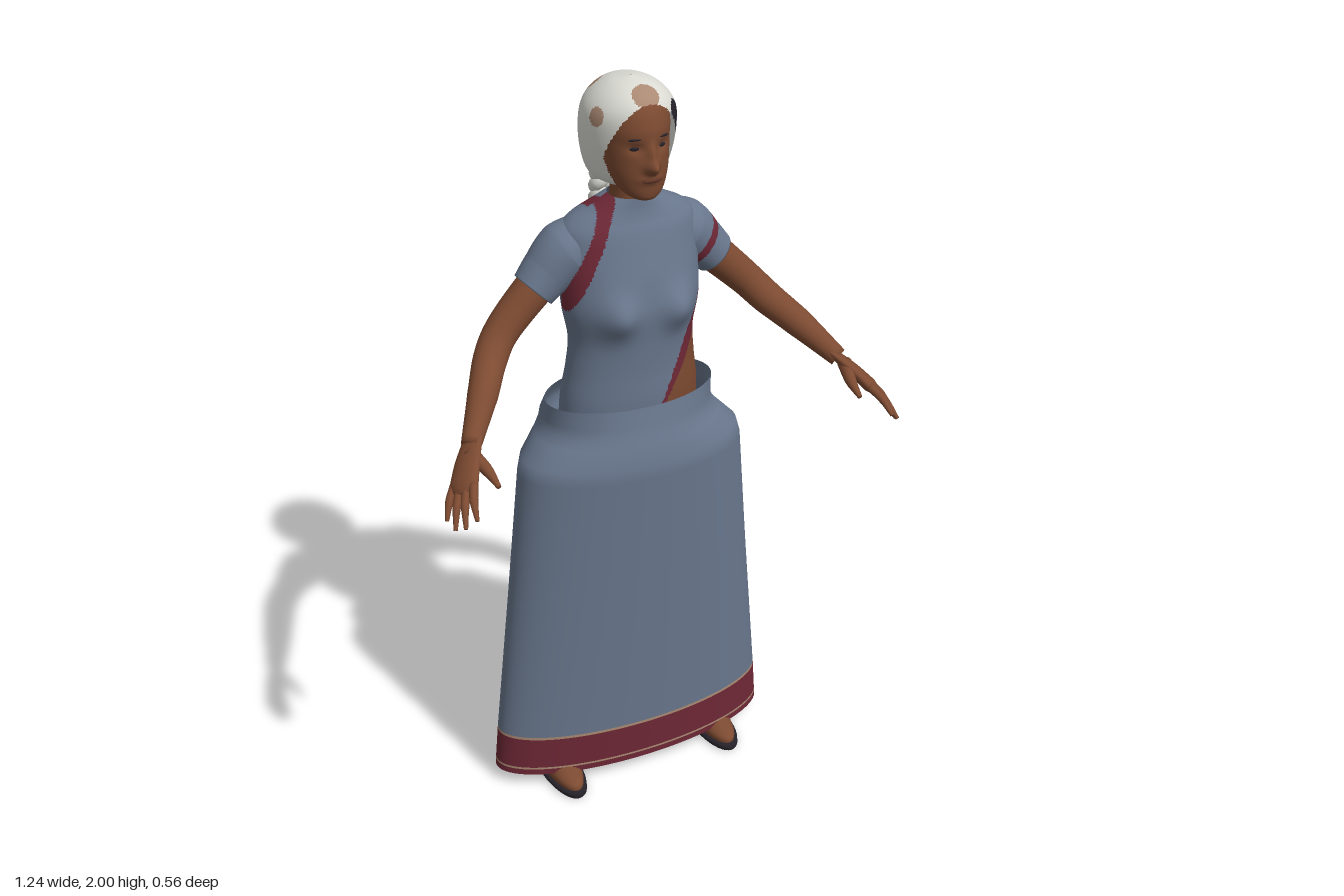
import * as THREE from 'three';

const mat = (name, color, double = false) => {
  const m = new THREE.MeshStandardMaterial({ color });
  m.name = name;
  if (double) m.side = THREE.DoubleSide;
  return m;
};

// Closed surface from rings of points; paint(x, y, z) picks a material, or null for a hole
function surface(name, rows, cols, at, paint) {
  const pos = [], faces = new Map();
  for (let i = 0; i < rows; i++) for (let j = 0; j < cols; j++) pos.push(...at(i, j));
  const add = (...t) => {
    const c = [0, 1, 2].map(k => (pos[t[0] * 3 + k] + pos[t[1] * 3 + k] + pos[t[2] * 3 + k]) / 3);
    const m = typeof paint === 'function' ? paint(...c) : paint;
    if (!m) return;
    if (!faces.has(m)) faces.set(m, []);
    faces.get(m).push(...t);
  };
  for (let i = 0; i < rows - 1; i++) for (let j = 0; j < cols; j++) {
    const a = i * cols + j, b = i * cols + (j + 1) % cols;
    add(a, b, b + cols);
    add(a, b + cols, a + cols);
  }
  const g = new THREE.BufferGeometry();
  g.setAttribute('position', new THREE.Float32BufferAttribute(pos, 3));
  const index = [];
  [...faces.values()].forEach((f, k) => {
    g.addGroup(index.length, f.length, k);
    for (const v of f) index.push(v);
  });
  g.setIndex(index);
  g.computeVertexNormals();
  const mats = [...faces.keys()];
  const mesh = new THREE.Mesh(g, mats.length > 1 ? mats : mats[0]);
  mesh.name = name;
  return mesh;
}

// Smoothly adds in-between rows to a profile
function refine(rows, sub) {
  const out = [];
  for (let i = 0; i < rows.length - 1; i++) {
    const [a, b, c, d] = [-1, 0, 1, 2].map(k => rows[Math.min(Math.max(i + k, 0), rows.length - 1)]);
    for (let s = 0; s < sub; s++) {
      const t = s / sub;
      out.push(b.map((v, k) => v + 0.5 * t * (c[k] - a[k] + t * (2 * a[k] - 5 * v + 4 * c[k] - d[k] + t * (3 * (v - c[k]) + d[k] - a[k])))));
    }
  }
  return [...out, rows[rows.length - 1]];
}

// Horizontal ellipses; each row is [y, half width, front z, back z]
function loft(name, profile, sub, cols, paint, shift = () => 0) {
  const rows = sub > 1 ? refine(profile, sub) : profile;
  return surface(name, rows.length, cols, (i, j) => {
    const [y, w, zf, zb] = rows[i], a = j / cols * Math.PI * 2;
    const x = w * Math.sin(a), z = (zf + zb) / 2 + (zf - zb) / 2 * Math.cos(a);
    return [x, y, z + shift(x, y, z)];
  }, paint);
}

// Tube through [x, y, z, radius] points with closed ends, optionally flattened along an axis
function tube(name, pts, n, cols, paint, axis = null, squash = 0) {
  const curve = new THREE.CatmullRomCurve3(pts.map(p => new THREE.Vector3(p[0], p[1], p[2])));
  const fr = curve.computeFrenetFrames(n, false);
  return surface(name, n + 3, cols, (i, j) => {
    const k = Math.min(Math.max(i - 1, 0), n), u = k / n;
    const t = curve.getUtoTmapping(u) * (pts.length - 1), q = Math.min(Math.floor(t), pts.length - 2);
    const end = i === 0 || i === n + 2;
    const r = end ? 0.0005 : THREE.MathUtils.lerp(pts[q][3], pts[q + 1][3], t - q), a = j / cols * Math.PI * 2;
    const o = fr.normals[k].clone().multiplyScalar(Math.cos(a) * r).addScaledVector(fr.binormals[k], Math.sin(a) * r);
    if (axis) o.addScaledVector(axis, -squash * o.dot(axis));
    return curve.getPointAt(u).add(o).toArray();
  }, paint);
}

const bump = (x, y, cx, cy, sx, sy) => Math.exp(-(((x - cx) / sx) ** 2) - ((y - cy) / sy) ** 2);

export function createModel() {
  const root = new THREE.Group();
  root.name = 'woman';
  const cloth = mat('blue cloth', 0x69778d, true), trim = mat('red trim', 0x6e2836, true);
  const skin = mat('skin', 0x7c4a31), white = mat('white hair', 0xdcdcd5, true);
  const tan = mat('tan', 0xab8a74, true), dark = mat('dark', 0x26222a, true), lips = mat('lips', 0x5f3427);

  // Long open skirt with a red hem
  root.add(loft('skirt', [
    [0.04, 0.405, 0.035, -0.245], [0.058, 0.404, 0.036, -0.245], [0.064, 0.403, 0.036, -0.245],
    [0.16, 0.395, 0.04, -0.245], [0.168, 0.394, 0.04, -0.245], [0.6, 0.35, 0.06, -0.245],
    [0.97, 0.314, 0.079, -0.245], [1.01, 0.303, 0.08, -0.252], [1.06, 0.254, 0.066, -0.272],
    [1.085, 0.237, 0.057, -0.277], [1.11, 0.234, 0.05, -0.268], [1.16, 0.23, 0.04, -0.222],
  ], 1, 96, (x, y) => (y > 0.058 && y < 0.064) || (y > 0.16 && y < 0.168) ? tan : y < 0.16 ? trim : cloth));

  // Bodice with a bare left waist and a slanted trim
  const bodicePaint = (x, y, z) => {
    if (x > 0) {
      if (z > -0.08) {
        if (y < 1.37 && x > 0.06 + (y - 1.17) * 0.63) return skin;
        if (y < 1.57 && x > 0.045 + (y - 1.17) * 0.45) return trim;
      } else {
        const edge = Math.max(-0.2, -0.2 + (y - 1.25) * 0.44);
        if (y < 1.36 && z > edge + 0.018) return skin;
        if (y < 1.55 && z > edge) return trim;
      }
    } else if (z > -0.09) {
      const line = -0.06 - 0.45 * (1.69 - y);
      if (y > 1.41 && x < line && x > line - 0.033) return trim;
    } else if ((y > 1.48 && x < -0.075 && x > -0.108) || (y > 1.48 && y < 1.51 && x < -0.09)) return trim;
    return cloth;
  };
  root.add(loft('bodice', [
    [1.05, 0.19, 0.02, -0.22], [1.16, 0.186, 0.03, -0.212], [1.25, 0.173, 0.03, -0.195],
    [1.33, 0.167, 0.034, -0.19], [1.42, 0.182, 0.04, -0.2], [1.5, 0.184, 0.033, -0.208],
    [1.57, 0.185, 0.015, -0.207], [1.62, 0.18, 0, -0.195], [1.65, 0.155, -0.012, -0.18],
    [1.675, 0.11, -0.018, -0.16], [1.705, 0.058, -0.02, -0.132],
  ], 10, 144, bodicePaint, (x, y, z) => z < -0.08 ? 0
    : 0.034 * Math.min(1, (z + 0.08) / 0.05) * (bump(x, y, 0.085, 1.42, 0.05, 0.055) + bump(x, y, -0.085, 1.42, 0.05, 0.055))));

  // Neck and face
  root.add(tube('neck', [[0, 1.64, -0.085, 0.056], [0, 1.71, -0.078, 0.05], [0, 1.79, -0.07, 0.052]], 8, 32, skin));
  root.add(loft('head', [
    [1.714, 0.004, 0.012, 0], [1.72, 0.03, 0.03, -0.03], [1.74, 0.055, 0.038, -0.08], [1.78, 0.075, 0.042, -0.14],
    [1.82, 0.083, 0.042, -0.17], [1.86, 0.088, 0.04, -0.19], [1.9, 0.09, 0.04, -0.195],
    [1.95, 0.078, 0.02, -0.17], [1.98, 0.035, -0.03, -0.13],
  ], 8, 96, skin, (x, y, z) => z < -0.03 ? 0
    : 0.03 * bump(x, y, 0, 1.808, 0.016, 0.017) + 0.014 * bump(x, y, 0, 1.84, 0.012, 0.025)
    + 0.007 * bump(x, y, 0, 1.775, 0.028, 0.01)
    - 0.008 * (bump(x, y, 0.035, 1.853, 0.018, 0.012) + bump(x, y, -0.035, 1.853, 0.018, 0.012))));
  const feature = (name, m, x, y, z, sx, sy, sz, turn = 0) => {
    const f = new THREE.Mesh(new THREE.SphereGeometry(1, 16, 10), m);
    f.name = name;
    f.position.set(x, y, z);
    f.scale.set(sx, sy, sz);
    f.rotation.set(0, turn * 0.4, -turn * 0.1);
    root.add(f);
  };
  for (const s of [-1, 1]) {
    feature('eye', dark, s * 0.035, 1.852, 0.022, 0.013, 0.0055, 0.005, s);
    feature('eyebrow', dark, s * 0.037, 1.877, 0.029, 0.018, 0.003, 0.004, s);
  }
  feature('mouth', lips, 0, 1.775, 0.044, 0.026, 0.006, 0.008);

  // Hair cap, open at the face, with a few odd patches
  const patches = [
    [-0.055, 1.965, -0.155, 0.024, tan], [-0.1, 1.92, -0.045, 0.024, tan], [0, 1.975, 0.01, 0.034, tan],
    [0.085, 1.92, 0.0, 0.03, dark], [0.1, 1.9, -0.03, 0.024, cloth], [0.09, 1.88, 0, 0.024, dark],
    [0.085, 1.835, -0.18, 0.024, tan], [-0.05, 1.9, -0.21, 0.024, tan], [0.01, 1.8, -0.213, 0.026, cloth],
  ];
  root.add(loft('hair', [
    [1.73, 0.06, -0.04, -0.185], [1.755, 0.092, -0.005, -0.203], [1.8, 0.108, 0.015, -0.217],
    [1.86, 0.115, 0.035, -0.225], [1.92, 0.111, 0.042, -0.214], [1.96, 0.088, 0.028, -0.188],
    [1.988, 0.05, -0.01, -0.14], [2, 0.002, -0.068, -0.072],
  ], 10, 120, (x, y, z) => {
    if (z > -0.03 && (x / 0.092) ** 2 + (Math.max(0, y - 1.82) / 0.138) ** 2 < 1) return null;
    const p = patches.find(q => Math.hypot(x - q[0], y - q[1], z - q[2]) < q[3]);
    return p ? p[4] : white;
  }));

  // Three-strand braid down the back
  const braid = new THREE.Group();
  braid.name = 'braid';
  for (let k = 0; k < 3; k++) {
    const pts = [];
    for (let i = 0; i <= 44; i++) {
      const t = i / 44, a = t * Math.PI * 7 + k * Math.PI * 2 / 3, size = 1 - 0.5 * t;
      const z = -0.198 - 0.045 * Math.sin(Math.min(1, t * 2) * Math.PI / 2) + 0.02 * Math.max(0, t - 0.5);
      pts.push([0.026 * size * Math.sin(a), 1.75 - 0.385 * t, z + 0.012 * size * Math.sin(2 * a), 0.02 * size]);
    }
    braid.add(tube('braidStrand', pts, 110, 10, white));
  }
  braid.add(tube('braidTie', [[0, 1.375, -0.234, 0.013], [0, 1.36, -0.233, 0.013]], 2, 12, cloth));
  braid.add(tube('braidTuft', [[0, 1.362, -0.232, 0.01], [0, 1.345, -0.23, 0.016], [0, 1.325, -0.226, 0.004]], 6, 12, white));
  root.add(braid);

  const palmAxis = [0.69, 0.71, 0.13];
  for (const s of [-1, 1]) {
    const side = new THREE.Group();
    side.name = s > 0 ? 'leftLimbs' : 'rightLimbs';
    const m = pts => pts.map(([x, ...r]) => [x * s, ...r]);

    // Short sleeve; the left one carries the armhole trim
    const sleevePaint = (x, y, z) => {
      const d = x * 0.8 - y * 0.6;
      return s > 0 && d > -0.765 && d < -0.74 ? trim : cloth;
    };
    side.add(tube('sleeve', m([[0.1, 1.585, -0.105, 0.07], [0.16, 1.56, -0.11, 0.078], [0.21, 1.515, -0.112, 0.066],
      [0.25, 1.475, -0.11, 0.057]]), 60, 48, sleevePaint));

    // Arm and hand
    side.add(tube('arm', m([[0.18, 1.54, -0.11, 0.045], [0.25, 1.475, -0.112, 0.049], [0.345, 1.382, -0.098, 0.044],
      [0.385, 1.338, -0.068, 0.043], [0.44, 1.285, 0.01, 0.038], [0.51, 1.21, 0.1, 0.025]]), 36, 24, skin));
    const axis = new THREE.Vector3(palmAxis[0] * s, palmAxis[1], palmAxis[2]).normalize();
    side.add(tube('palm', m([[0.49, 1.228, 0.075, 0.026], [0.535, 1.185, 0.135, 0.038], [0.562, 1.153, 0.177, 0.043],
      [0.574, 1.14, 0.195, 0.022]]), 14, 20, skin, axis, 0.58));
    [[0.57, 1.112, 0.277], [0.595, 1.09, 0.265], [0.61, 1.073, 0.235], [0.617, 1.08, 0.198]].forEach((tip, i) => {
      const k = (i - 1.5) * 0.02;
      const base = [0.56 + 0.49 * k, 1.155 - 0.32 * k, 0.174 - 0.81 * k];
      const mid = base.map((v, c) => (v + tip[c]) / 2 + palmAxis[c] * 0.006);
      side.add(tube('finger', m([[...base, 0.0115], [...mid, 0.0105], [...tip, 0.005]]), 8, 10, skin));
    });
    side.add(tube('thumb', m([[0.52, 1.2, 0.115, 0.019], [0.502, 1.18, 0.18, 0.0145], [0.496, 1.163, 0.235, 0.006]]), 8, 12, skin));

    // Leg, foot and flat sole
    side.add(tube('leg', m([[0.1, 1.08, -0.095, 0.08], [0.16, 0.55, -0.1, 0.055], [0.21, 0.3, -0.115, 0.05],
      [0.235, 0.07, -0.12, 0.033]]), 20, 20, skin));
    const foot = loft('foot', [[0.016, 0.045, 0.07, -0.17], [0.035, 0.046, 0.066, -0.17], [0.055, 0.04, 0.02, -0.168],
      [0.08, 0.035, -0.05, -0.165], [0.12, 0.03, -0.085, -0.155]], 4, 32, skin);
    const sole = loft('sole', [[0, 0.001, -0.047, -0.049], [0, 0.049, 0.08, -0.178], [0.006, 0.053, 0.085, -0.182],
      [0.019, 0.052, 0.084, -0.181], [0.02, 0.001, -0.047, -0.049]], 1, 40, dark);
    foot.position.x = sole.position.x = s * 0.237;
    side.add(foot, sole);
    root.add(side);
  }
  return root;
}
